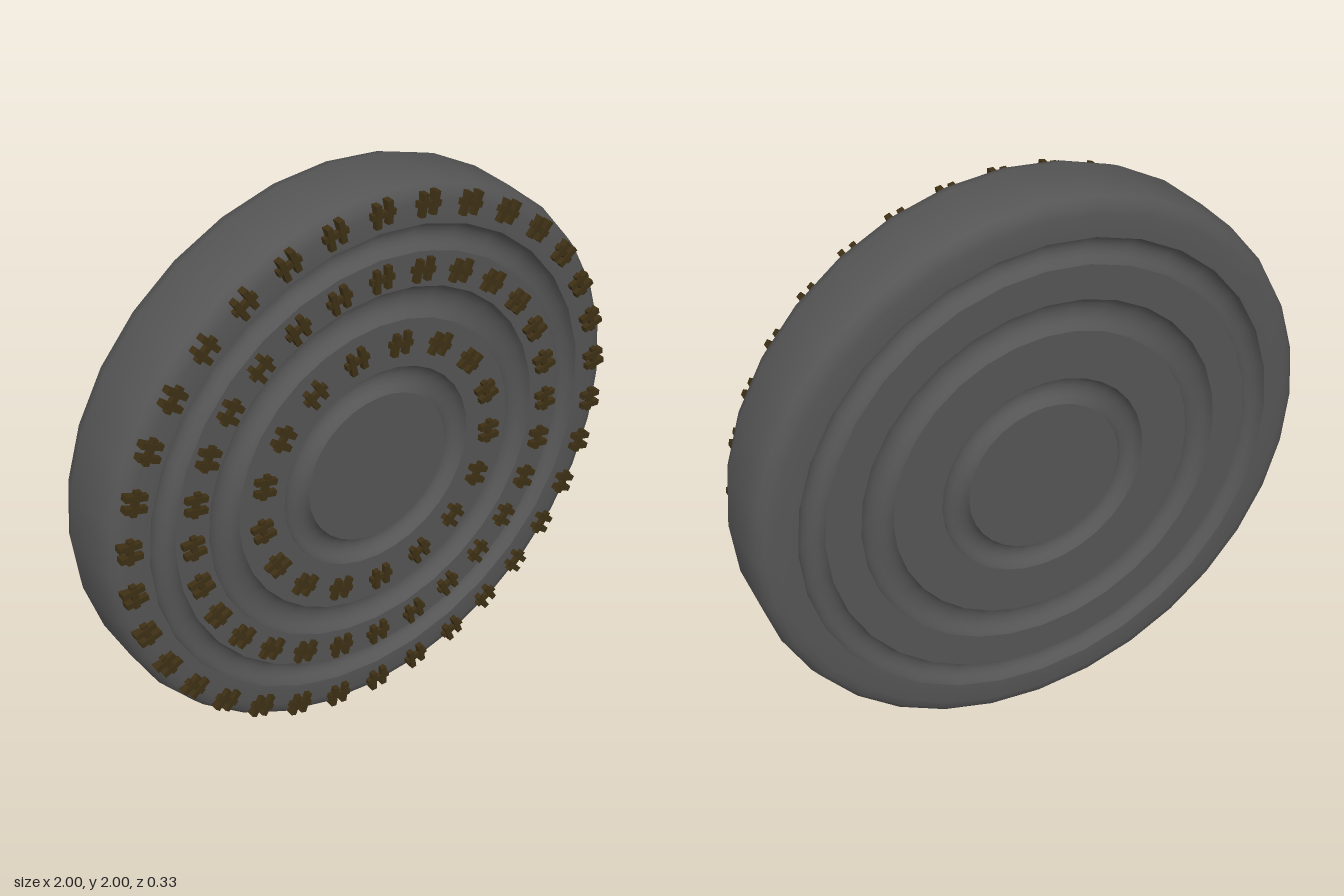
import * as THREE from 'three';
import { toCreasedNormals, mergeGeometries } from 'three/addons/utils/BufferGeometryUtils.js';

const BACK = -0.165, FRONT = 0.145;

// One face of the disc from the centre to the rim: flat bands, round grooves, soft shoulder
function faceProfile(z, dir) {
  const pts = [new THREE.Vector2(0, z)];
  for (const [inner, outer] of [[0.275, 0.37], [0.54, 0.65], [0.77, 0.86]]) {
    const mid = (inner + outer) / 2, half = (outer - inner) / 2;
    for (let i = 0; i <= 8; i++) {
      const a = (i / 8) * Math.PI;
      pts.push(new THREE.Vector2(mid - half * Math.cos(a), z - dir * 0.045 * Math.sin(a)));
    }
  }
  for (const [r, inset] of [[0.935, 0], [0.965, 0.008], [0.985, 0.025], [1, 0.07]]) {
    pts.push(new THREE.Vector2(r, z - dir * inset));
  }
  return pts;
}

// Stud: two staggered radial bars joined by a crossbar
function studGeometry() {
  const bar = (w, h, x, y, d) => new THREE.BoxGeometry(w, h, d).translate(x, y, FRONT - 0.01 + d / 2);
  return mergeGeometries([
    bar(0.02, 0.076, -0.021, -0.003, 0.03),
    bar(0.02, 0.076, 0.021, 0.003, 0.03),
    bar(0.088, 0.02, 0, 0, 0.027),
  ]);
}

export function createModel() {
  const model = new THREE.Group();
  model.name = 'groovedDisc';
  const discMaterial = new THREE.MeshStandardMaterial({ color: 0x555555 });
  const studMaterial = new THREE.MeshStandardMaterial({ color: 0x3d2f14 });

  // Disc, turned from one profile running back to front
  const profile = [...faceProfile(BACK, -1), ...faceProfile(FRONT, 1).reverse()];
  const discGeometry = new THREE.LatheGeometry(profile, 32).rotateX(Math.PI / 2);
  const disc = new THREE.Mesh(toCreasedNormals(discGeometry, 0.7), discMaterial);
  disc.name = 'disc';
  disc.position.y = 1;
  model.add(disc);

  // Rings of studs on the three flat front bands: radius, count, clockwise start in degrees
  const stud = studGeometry();
  const rings = [['outerStuds', 0.93, 34, 0], ['middleStuds', 0.71, 28, 0], ['innerStuds', 0.46, 17, 9.5]];
  for (const [name, radius, count, start] of rings) {
    const ring = new THREE.Group();
    ring.name = name;
    ring.position.y = 1;
    for (let i = 0; i < count; i++) {
      const a = THREE.MathUtils.degToRad(start) + (i / count) * Math.PI * 2;
      const mesh = new THREE.Mesh(stud, studMaterial);
      mesh.name = 'stud';
      mesh.position.set(Math.sin(a) * radius, Math.cos(a) * radius, 0);
      mesh.rotation.z = -a;
      ring.add(mesh);
    }
    model.add(ring);
  }
  return model;
}
